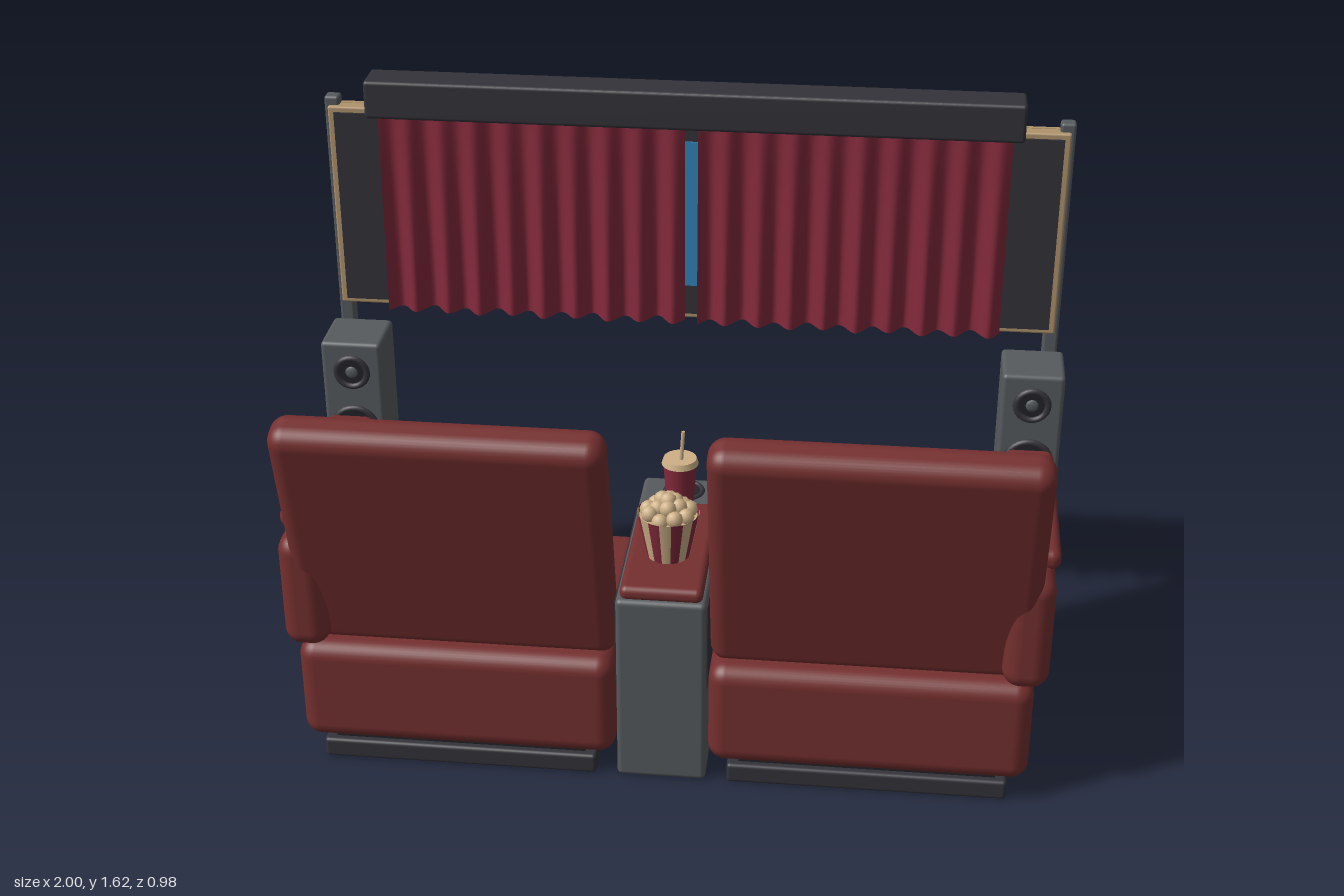
import * as THREE from 'three';
import { RoundedBoxGeometry } from 'three/addons/geometries/RoundedBoxGeometry.js';

const mat = (name, color, side = THREE.FrontSide) => {
  const m = new THREE.MeshStandardMaterial({ color, side });
  m.name = name;
  return m;
};

export function createModel() {
  const leather = mat('red leather', 0x752f2f);
  const velvet = mat('crimson velvet', 0x842a3c, THREE.DoubleSide);
  const dark = mat('charcoal', 0x34333a);
  const grey = mat('grey', 0x575b5e);
  const wood = mat('tan wood', 0xb0936c);
  const blue = mat('screen blue', 0x2f86bd);
  const cream = mat('cream', 0xcdb087, THREE.DoubleSide);
  const black = mat('black', 0x232328);

  const model = new THREE.Group();
  model.name = 'homeCinema';

  const add = (parent, name, geo, material, x = 0, y = 0, z = 0) => {
    const m = new THREE.Mesh(geo, material);
    m.name = name;
    m.position.set(x, y, z);
    parent.add(m);
    return m;
  };
  // Rounded or sharp box given by its extents
  const box = (parent, name, material, [x0, x1], [y0, y1], [z0, z1], r = 0) => {
    const s = [x1 - x0, y1 - y0, z1 - z0];
    const geo = r ? new RoundedBoxGeometry(...s, 4, r) : new THREE.BoxGeometry(...s);
    return add(parent, name, geo, material, (x0 + x1) / 2, (y0 + y1) / 2, (z0 + z1) / 2);
  };
  const group = (name) => {
    const g = new THREE.Group();
    g.name = name;
    model.add(g);
    return g;
  };
  const span = (s, a, b) => (s > 0 ? [a, b] : [-b, -a]);

  for (const s of [1, -1]) {
    const side = s > 0 ? 'left' : 'right';

    // Recliner facing the screen
    const seat = group(side + 'Recliner');
    box(seat, 'plinth', dark, span(s, 0.17, 0.89), [0, 0.055], [-0.26, 0.37], 0.01);
    box(seat, 'underside', black, span(s, 0.2, 0.86), [0.045, 0.08], [-0.24, 0.35]);
    box(seat, 'base', leather, span(s, 0.12, 0.94), [0.065, 0.355], [-0.275, 0.385], 0.045);
    box(seat, 'seatCushion', leather, span(s, 0.215, 0.86), [0.33, 0.485], [-0.282, 0.3], 0.045);
    box(seat, 'armrest', leather, span(s, 0.855, 0.972), [0.345, 0.665], [-0.275, 0.385], 0.045);
    box(seat, 'armPad', leather, span(s, 0.852, 0.982), [0.645, 0.7], [-0.245, 0.295], 0.024);
    // Reclined back with its three pillows
    const back = new THREE.Group();
    back.name = 'backrest';
    back.position.set(s * 0.53, 0.69, 0.355);
    back.rotation.x = 0.25;
    seat.add(back);
    box(back, 'backPanel', leather, [-0.41, 0.41], [-0.36, 0.355], [-0.058, 0.056], 0.045);
    box(back, 'headPillow', leather, [-0.32, 0.32], [0.1, 0.275], [-0.15, 0], 0.07);
    box(back, 'middlePillow', leather, [-0.32, 0.32], [-0.1, 0.085], [-0.155, 0], 0.07);
    box(back, 'lowerPillow', leather, [-0.32, 0.32], [-0.28, -0.1], [-0.16, 0], 0.065);

    // Floor speaker facing the seats
    const speaker = group(side + 'Speaker');
    box(speaker, 'cabinet', grey, span(s, 0.835, 1), [0.05, 0.895], [-0.44, -0.275], 0.012);
    for (const [y, r] of [[0.81, 0.042], [0.64, 0.06], [0.47, 0.06], [0.3, 0.06]]) {
      const x = s * 0.9175;
      add(speaker, 'driverRing', new THREE.TorusGeometry(r, 0.009, 8, 28), dark, x, y, -0.273);
      add(speaker, 'driverCone', new THREE.CircleGeometry(r, 28), black, x, y, -0.272);
      const cap = add(speaker, 'driverCap', new THREE.SphereGeometry(r * 0.42, 16, 8), grey, x, y, -0.273);
      cap.scale.z = 0.4;
    }
    for (const x of [0.865, 0.97]) for (const z of [-0.305, -0.41]) {
      add(speaker, 'spikeFoot', new THREE.CylinderGeometry(0.007, 0.013, 0.052, 10), grey, s * x, 0.026, z);
    }

    // Screen post and its foot
    const stand = group(side + 'ScreenStand');
    box(stand, 'post', grey, span(s, 0.943, 0.983), [0.01, 1.535], [-0.485, -0.445], 0.008);
    box(stand, 'foot', dark, span(s, 0.925, 1), [0, 0.02], [-0.485, -0.352], 0.008);

    // Pleated curtain, folds deepening towards the hem
    const curtain = new THREE.PlaneGeometry(0.805, 0.56, 110, 10);
    const p = curtain.attributes.position;
    for (let i = 0; i < p.count; i++) {
      const x = p.getX(i), v = 0.5 - p.getY(i) / 0.56;
      const a = 0.007 + 0.015 * v;
      p.setZ(i, a * Math.sin(x * 72) + a * 0.25 * Math.sin(x * 31 + 1));
    }
    curtain.computeVertexNormals();
    add(model, side + 'Curtain', curtain, velvet, s * 0.42, 1.24, -0.378);
  }

  // Screen with slatted wooden back
  const screen = group('screen');
  box(screen, 'woodPanel', wood, [-0.972, 0.972], [0.945, 1.512], [-0.472, -0.432], 0.006);
  box(screen, 'screenBorder', dark, [-0.955, 0.955], [0.96, 1.497], [-0.433, -0.426]);
  box(screen, 'picture', blue, [-0.8, 0.8], [1.045, 1.455], [-0.427, -0.422]);
  for (const y of [0.945, 1.492]) {
    box(screen, 'backRail', wood, [-0.945, 0.945], [y, y + 0.02], [-0.482, -0.47]);
  }
  for (let i = 0; i < 19; i++) {
    const x = -0.9 + i * 0.1;
    box(screen, 'slatGroove', black, [x - 0.005, x + 0.005], [0.967, 1.49], [-0.475, -0.47]);
  }
  box(screen, 'lightStrip', blue, [-0.485, 0.485], [1.005, 1.027], [-0.488, -0.47]);
  box(screen, 'curtainBox', dark, [-0.85, 0.85], [1.515, 1.617], [-0.445, -0.34], 0.01);

  // Console between the seats
  const console_ = group('console');
  box(console_, 'body', grey, [-0.115, 0.115], [0, 0.537], [-0.27, 0.37], 0.014);
  box(console_, 'lidPad', leather, [-0.105, 0.105], [0.53, 0.57], [-0.09, 0.36], 0.018);
  const panel = new THREE.Shape([[0.1, 0.525], [0.27, 0.28], [-0.355, 0.28], [-0.355, 0.525]]
    .map(([a, b]) => new THREE.Vector2(a, b)));
  for (const x of [-0.118, 0.113]) {
    const m = add(console_, 'sidePanel',
      new THREE.ExtrudeGeometry(panel, { depth: 0.005, bevelEnabled: false }), dark, x);
    m.rotation.y = Math.PI / 2;
  }
  const ring = add(console_, 'cupHolderRing', new THREE.TorusGeometry(0.05, 0.007, 8, 28), dark, 0, 0.537, -0.2);
  ring.rotation.x = Math.PI / 2;
  add(console_, 'cupHolderWell', new THREE.CylinderGeometry(0.046, 0.046, 0.004, 28), black, 0, 0.537, -0.2);

  // Drink with lid and straw
  const drink = group('drink');
  add(drink, 'cup', new THREE.CylinderGeometry(0.045, 0.034, 0.145, 24), velvet, 0, 0.607, -0.1);
  add(drink, 'cupLid', new THREE.CylinderGeometry(0.044, 0.049, 0.016, 24), cream, 0, 0.686, -0.1);
  const straw = add(drink, 'straw', new THREE.CylinderGeometry(0.005, 0.005, 0.1, 8), cream, 0.006, 0.727, -0.092);
  straw.rotation.z = -0.06;

  // Striped popcorn tub
  const tub = group('popcornTub');
  const stripes = 16, step = (Math.PI * 2) / stripes;
  for (let i = 0; i < stripes; i++) {
    add(tub, 'tubStripe', new THREE.CylinderGeometry(0.08, 0.055, 0.125, 2, 1, true, (i - 0.5) * step, step),
      i % 2 ? velvet : cream, 0, 0.632, 0.18);
  }
  add(tub, 'popcornBed', new THREE.CylinderGeometry(0.074, 0.07, 0.02, 20), cream, 0, 0.675, 0.18);
  for (const [n, r, y] of [[9, 0.053, 0.695], [5, 0.028, 0.712], [1, 0, 0.724]]) {
    for (let i = 0; i < n; i++) {
      const a = (i / n) * Math.PI * 2 + r * 9;
      add(tub, 'popcorn', new THREE.IcosahedronGeometry(0.022, 1), cream,
        r * Math.cos(a), y + 0.005 * Math.sin(i * 2.4), 0.18 + r * Math.sin(a));
    }
  }

  // Remote lying on one seat
  const remote = add(model, 'remoteControl', new RoundedBoxGeometry(0.042, 0.022, 0.17, 3, 0.01), dark,
    -0.322, 0.495, -0.12);
  remote.rotation.y = 0.42;

  return model;
}
